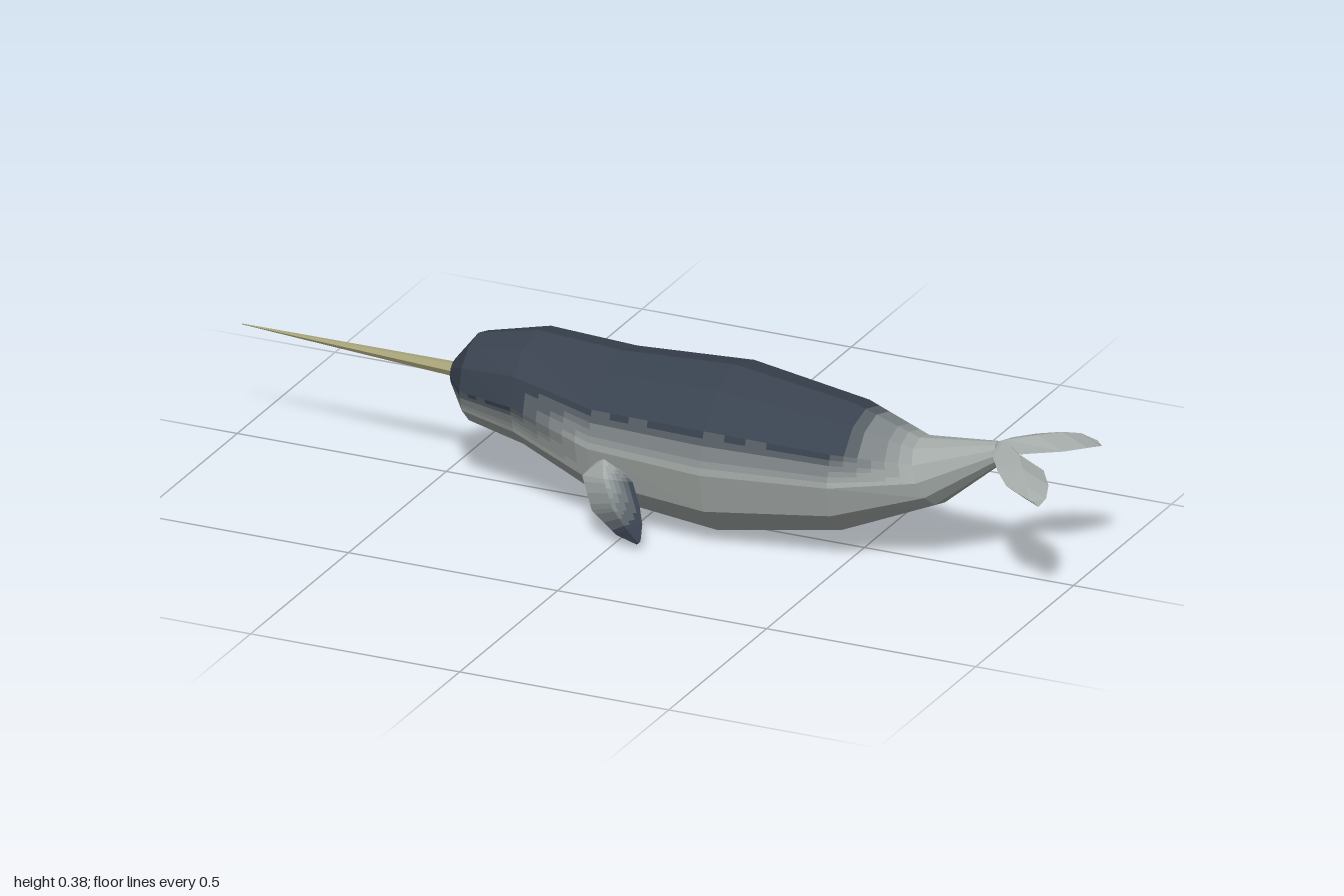
import * as THREE from 'three';

const LIGHT = new THREE.Color(0xa3aaa7);
const DARK = new THREE.Color(0x39424f);
const IVORY = 0xa8a47a;
const TONES = 6;

const v = (x, y, z) => new THREE.Vector3(x, y, z);

// Closes a stack of rings at both ends with a centre point.
function capped(rings) {
  const pole = (ring) => {
    const c = ring.reduce((sum, p) => sum.add(p), v(0, 0, 0)).divideScalar(ring.length);
    return ring.map(() => c);
  };
  return [pole(rings[0]), ...rings, pole(rings[rings.length - 1])];
}

// Faceted skin over rings; tone(i, j) runs from 0 (light) to 1 (dark).
// Faces where the tone changes are split so that the colours blend.
function skin(name, openRings, tone) {
  const rings = capped(openRings);
  const sides = rings[0].length;
  const last = openRings.length - 1;
  const bins = Array.from({ length: TONES + 1 }, () => []);
  const triangle = (bin, a, b, c) => {
    const area = b.clone().sub(a).cross(c.clone().sub(a)).length();
    if (area > 1e-9) bin.push(a, b, c);
  };
  for (let i = 0; i < rings.length - 1; i++) {
    for (let j = 0; j < sides; j++) {
      const k = (j + 1) % sides;
      const toneAt = (r, s) => tone(Math.min(Math.max(r - 1, 0), last), s);
      const t = [toneAt(i, j), toneAt(i, k), toneAt(i + 1, j), toneAt(i + 1, k)];
      const n = t.every((w) => w === t[0]) ? 1 : TONES;
      const mixTone = (a, b) => (t[0] * (1 - b) + t[1] * b) * (1 - a) + (t[2] * (1 - b) + t[3] * b) * a;
      const point = (a, b) => rings[i][j].clone().lerp(rings[i][k], b)
        .lerp(rings[i + 1][j].clone().lerp(rings[i + 1][k], b), a);
      for (let p = 0; p < n; p++) {
        for (let q = 0; q < n; q++) {
          const bin = bins[Math.round(mixTone((p + 0.5) / n, (q + 0.5) / n) * TONES)];
          const a = point(p / n, q / n), b = point(p / n, (q + 1) / n);
          const c = point((p + 1) / n, (q + 1) / n), d = point((p + 1) / n, q / n);
          triangle(bin, a, b, c);
          triangle(bin, a, c, d);
        }
      }
    }
  }
  const group = new THREE.Group();
  group.name = name;
  bins.forEach((points, i) => {
    if (!points.length) return;
    const geometry = new THREE.BufferGeometry().setFromPoints(points);
    geometry.computeVertexNormals();
    const color = LIGHT.clone().lerp(DARK, i / TONES);
    const mesh = new THREE.Mesh(geometry, new THREE.MeshStandardMaterial({ color, flatShading: true }));
    mesh.name = `${name}Tone${i}`;
    group.add(mesh);
  });
  return group;
}

// Mirrors rings to the other side in z, keeping faces outward.
const toSide = (rings, side) => side > 0 ? rings
  : rings.map((ring) => ring.map((p) => v(p.x, p.y, -p.z)).reverse());

// Body: twelve-sided rings from snout to tail stalk.
function makeBody() {
  // x at top, x at bottom, y at top, y at bottom, half width
  const stations = [
    [-0.475, -0.475, 0.275, 0.215, 0.03],
    [-0.42, -0.42, 0.345, 0.145, 0.1],
    [-0.28, -0.28, 0.377, 0.118, 0.14],
    [-0.08, -0.08, 0.365, 0.03, 0.172],
    [0.195, 0.195, 0.38, 0.002, 0.19],
    [0.48, 0.48, 0.34, 0.05, 0.147],
    [0.635, 0.695, 0.287, 0.145, 0.085],
    [0.82, 0.84, 0.31, 0.268, 0.026],
  ];
  const rings = stations.map(([xt, xb, yt, yb, w]) => Array.from({ length: 12 }, (_, j) => {
    const a = (j / 12) * Math.PI * 2;
    const up = (1 + Math.cos(a)) / 2;
    return v(xb + (xt - xb) * up, yb + (yt - yb) * up, 0.006 + w * Math.sin(a));
  }));
  // Dark back reaching further down on the head, fading before the tail
  const reach = [4, 3, 3, 2, 2, 2, -1, -1];
  return skin('body', rings, (i, j) => (Math.min(j, 12 - j) <= reach[i] ? 1 : 0));
}

// Flipper: flattened four-sided rings from shoulder to tip.
function makeFlipper(side) {
  // front edge x, y, back edge x, y, half thickness
  const sections = [
    [-0.06, 0.17, -0.025, 0.18, 0.015],
    [-0.09, 0.135, 0.03, 0.14, 0.022],
    [-0.055, 0.07, 0.055, 0.095, 0.021],
    [0.01, 0.03, 0.068, 0.06, 0.014],
    [0.062, 0.018, 0.07, 0.026, 0.003],
  ];
  const slope = (x, y) => v(x, y, 0.168 + (0.17 - y) * 0.4);
  const rings = sections.map(([fx, fy, bx, by, h]) => {
    const front = slope(fx, fy), back = slope(bx, by);
    const mid = front.clone().lerp(back, 0.5);
    const out = v(0, 0.37 * h, 0.93 * h);
    return [back, mid.clone().add(out), front, mid.clone().sub(out)];
  });
  const tones = [0, 0, 0.5, 1, 1];
  const backRow = side > 0 ? 0 : 3;
  return skin(side > 0 ? 'leftFlipper' : 'rightFlipper', toSide(rings, side),
    (i, j) => (j === backRow && i > 0 ? 1 : tones[i]));
}

// Fluke: leaf-shaped half of the tail, drooping towards its tip.
function makeFluke(side) {
  // z, leading x, trailing x, middle y, half thickness
  const sections = [
    [0, 0.8, 0.87, 0.295, 0.02],
    [0.05, 0.83, 0.952, 0.294, 0.02],
    [0.1, 0.865, 0.987, 0.287, 0.019],
    [0.14, 0.905, 1, 0.276, 0.014],
    [0.163, 0.97, 0.992, 0.265, 0.003],
  ];
  const rings = sections.map(([z, lead, trail, y, h]) => {
    const ys = y - 0.06 * z * side; // slight roll of the tail
    const mid = (lead + trail) / 2;
    return [v(trail, ys - 0.008, z), v(mid, ys + h, z), v(lead, ys + 0.004, z), v(mid, ys - h, z)];
  });
  return skin(side > 0 ? 'leftFluke' : 'rightFluke', toSide(rings, side), () => 0);
}

// Tusk: long thin spike aimed slightly to one side.
function makeTusk() {
  const base = v(-0.46, 0.247, 0.002), tip = v(-1, 0.25, -0.025);
  const axis = tip.clone().sub(base);
  const tusk = new THREE.Mesh(
    new THREE.CylinderGeometry(0.001, 0.017, axis.length(), 6),
    new THREE.MeshStandardMaterial({ color: IVORY, flatShading: true }));
  tusk.name = 'tusk';
  tusk.position.copy(base).lerp(tip, 0.5);
  tusk.quaternion.setFromUnitVectors(v(0, 1, 0), axis.normalize());
  return tusk;
}

export function createModel() {
  const model = new THREE.Group();
  model.name = 'tuskedWhale';
  model.add(makeBody(), makeTusk());
  for (const side of [1, -1]) model.add(makeFlipper(side), makeFluke(side));
  return model;
}
